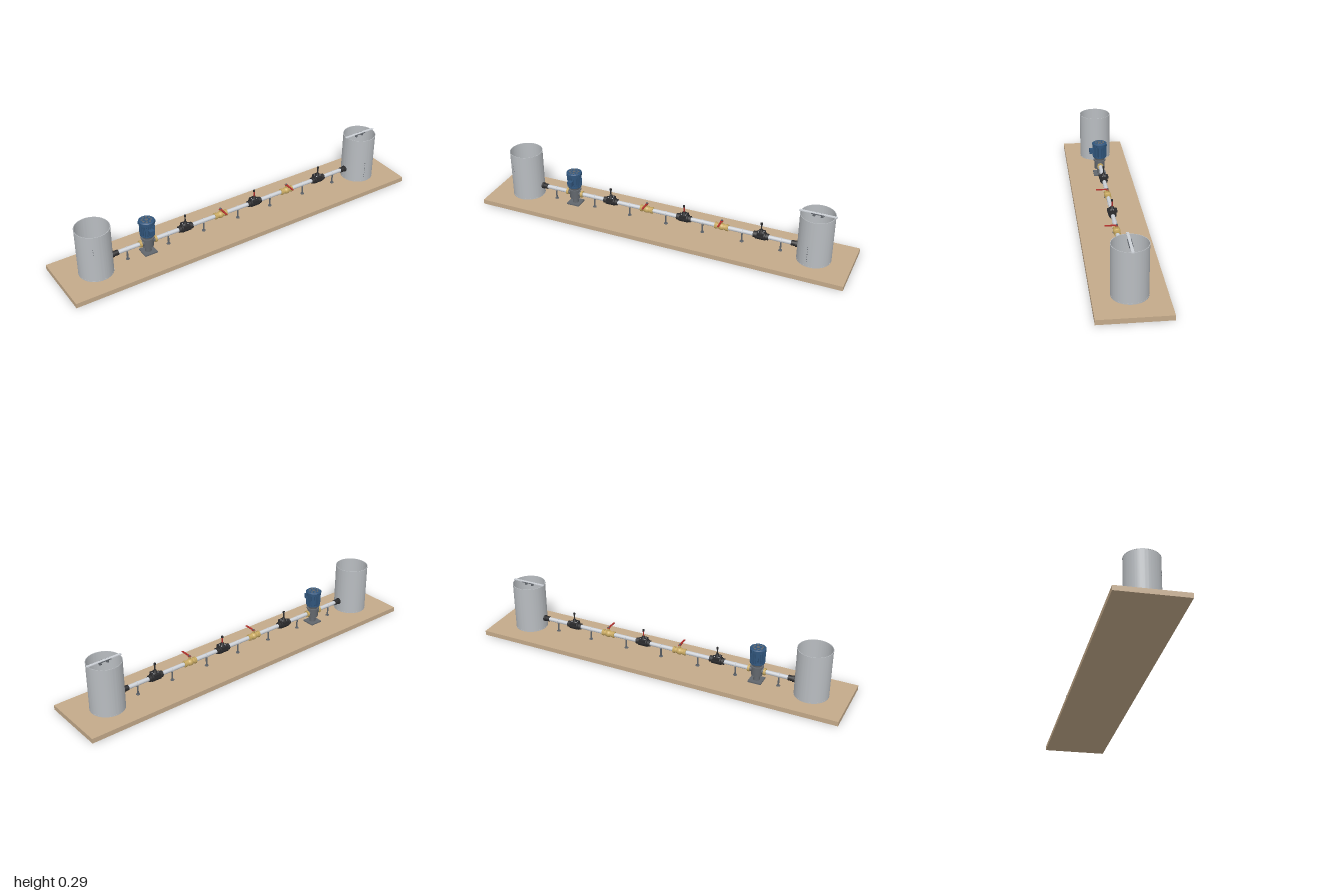
import * as THREE from 'three';
import { toCreasedNormals } from 'three/addons/utils/BufferGeometryUtils.js';

const PIPE_Y = 0.087, DECK = 0.025;

const mat = (name, color, extra = {}) =>
  Object.assign(new THREE.MeshStandardMaterial({ color, ...extra }), { name });

const M = {
  wood: mat('tan board', 0xc4aa8a),
  tank: mat('tank grey', 0xb9bdc1),
  pipe: mat('pipe light grey', 0xccd0d6),
  black: mat('black fitting', 0x2b2b2d),
  brass: mat('brass', 0xc9aa62),
  red: mat('red handle', 0xb0302c),
  blue: mat('motor blue', 0x30557c),
  iron: mat('cast iron grey', 0x62676d),
  water: mat('water blue', 0x6fb1d3),
};

function add(parent, name, geo, material, x = 0, y = 0, z = 0) {
  const m = new THREE.Mesh(geo, material);
  m.name = name;
  m.position.set(x, y, z);
  parent.add(m);
  return m;
}
const box = (w, h, d) => new THREE.BoxGeometry(w, h, d);
const cyl = (r, h, n = 24, r2 = r) => new THREE.CylinderGeometry(r2, r, h, n);
// cylinder lying along x
const cylX = (r, l, n = 24) => cyl(r, l, n).rotateZ(Math.PI / 2);

function group(parent, name, x = 0, y = 0, z = 0) {
  const g = new THREE.Group();
  g.name = name;
  g.position.set(x, y, z);
  parent.add(g);
  return g;
}

// upright tube with wall thickness
function ring(outer, inner, height) {
  const s = new THREE.Shape().absarc(0, 0, outer, 0, Math.PI * 2);
  s.holes.push(new THREE.Path().absarc(0, 0, inner, 0, Math.PI * 2, true));
  const g = new THREE.ExtrudeGeometry(s, { depth: height, bevelEnabled: false, curveSegments: 48 });
  return toCreasedNormals(g.rotateX(-Math.PI / 2), 0.6);
}

function tank(parent, name, x) {
  const g = group(parent, name, x, DECK, 0);
  add(g, 'tankWall', ring(0.087, 0.085, 0.259), M.tank);
  add(g, 'tankFloor', cyl(0.0875, 0.005, 64), M.tank, 0, 0.0025, 0);
  add(g, 'tankRim', ring(0.0878, 0.085, 0.003), M.tank, 0, 0.256, 0);
  add(g, 'water', cyl(0.0852, 0.12, 64), M.water, 0, 0.066, 0);
  return g;
}

// row of small level marks on the tank wall
function levelMarks(g, angle, from, to, count) {
  for (let i = 0; i < count; i++) {
    const m = add(g, 'levelMark', box(0.003, 0.005, 0.002), M.iron,
      Math.sin(angle) * 0.087, from + (to - from) * i / (count - 1), Math.cos(angle) * 0.087);
    m.rotation.y = angle;
  }
}

// threaded socket joining pipe and tank
function tankSocket(parent, side) {
  const g = group(parent, 'tankSocket', 0, PIPE_Y, 0);
  add(g, 'socketNut', cylX(0.017, 0.012, 8), M.black, side * 0.718);
  add(g, 'socketSleeve', cylX(0.014, 0.028), M.black, side * 0.703);
}

function gateValve(parent, x, redStem) {
  const g = group(parent, 'blackValve', x, PIPE_Y, 0);
  add(g, 'valveBody', cylX(0.021, 0.05, 20), M.black);
  for (const s of [-1, 1]) {
    add(g, 'valveNut', cylX(0.017, 0.014, 8), M.black, s * 0.033);
    for (const t of [-1, 1])
      add(g, 'valveBolt', cyl(0.0025, 0.006, 8), M.pipe, s * 0.012, 0.021, t * 0.007);
  }
  add(g, 'valveFlange', box(0.034, 0.012, 0.05), M.black, 0, 0.014, 0);
  add(g, 'bonnet', cyl(0.014, 0.018, 16, 0.007), M.black, 0, 0.028, 0);
  add(g, 'stem', cyl(0.0035, 0.036, 12), redStem ? M.red : M.black, 0, 0.05, 0);
  add(g, 'stemKnob', cyl(0.0055, 0.01, 12), M.black, 0, 0.07, 0);
}

function ballValve(parent, x) {
  const g = group(parent, 'brassValve', x, PIPE_Y, 0);
  add(g, 'ballHousing', new THREE.SphereGeometry(0.019, 24, 16), M.brass);
  add(g, 'brassSleeve', cylX(0.0145, 0.06), M.brass);
  for (const s of [-1, 1]) add(g, 'brassNut', cylX(0.0175, 0.013, 6), M.brass, s * 0.03);
  add(g, 'spindle', cyl(0.006, 0.018, 12), M.brass, 0, 0.024, 0);
  add(g, 'spindleNut', cyl(0.005, 0.006, 6), M.iron, 0, 0.037, 0);
  // lever reaching to the front
  add(g, 'leverHub', box(0.014, 0.003, 0.014), M.red, 0, 0.033, 0.002);
  add(g, 'lever', box(0.009, 0.004, 0.055), M.red, 0, 0.034, 0.034);
}

function pump(parent, x) {
  const g = group(parent, 'pump', x, 0, 0);
  add(g, 'footPlate', box(0.07, 0.007, 0.07), M.iron, 0, DECK + 0.0035, 0);
  add(g, 'pedestal', cyl(0.017, 0.045, 20, 0.014), M.iron, 0, 0.052, 0);
  add(g, 'pumpCasing', cyl(0.029, 0.05, 32), M.iron, 0, PIPE_Y, 0);
  add(g, 'casingFlange', cyl(0.034, 0.006, 32), M.iron, 0, 0.112, 0);
  add(g, 'motorAdapter', cyl(0.024, 0.02, 24, 0.03), M.iron, 0, 0.122, 0);
  for (const s of [-1, 1]) {
    add(g, 'pumpPort', cylX(0.014, 0.02), M.iron, s * 0.034, PIPE_Y, 0);
    add(g, 'brassUnion', cylX(0.018, 0.012, 8), M.brass, s * 0.042, PIPE_Y, 0);
  }
  // finned motor
  add(g, 'motorCore', cyl(0.033, 0.068, 32), M.blue, 0, 0.165, 0);
  add(g, 'motorLowerRim', cyl(0.037, 0.006, 32), M.blue, 0, 0.134, 0);
  for (let i = 0; i < 24; i++) {
    const a = i / 24 * Math.PI * 2;
    const fin = add(g, 'coolingFin', box(0.0025, 0.058, 0.01), M.blue,
      Math.sin(a) * 0.034, 0.167, Math.cos(a) * 0.034);
    fin.rotation.y = a;
  }
  add(g, 'terminalBox', box(0.026, 0.026, 0.024), M.blue, 0, 0.168, 0.046);
  // fan cover with vents and lugs
  add(g, 'fanCover', cyl(0.041, 0.016, 32), M.blue, 0, 0.206, 0);
  add(g, 'fanCoverTop', cyl(0.041, 0.004, 32, 0.035), M.blue, 0, 0.216, 0);
  add(g, 'fanHub', cyl(0.009, 0.002, 16), M.iron, 0, 0.2185, 0);
  for (let i = 0; i < 8; i++) {
    const a = (i + 0.5) / 8 * Math.PI * 2;
    add(g, 'fanVent', cyl(0.006, 0.0015, 12), M.iron, Math.sin(a) * 0.023, 0.2183, Math.cos(a) * 0.023);
    if (i % 2) add(g, 'coverLug', cyl(0.004, 0.012, 10), M.blue, Math.sin(a) * 0.041, 0.206, Math.cos(a) * 0.041);
  }
}

function pipeSupport(parent, x) {
  const g = group(parent, 'pipeSupport', x, 0, 0);
  add(g, 'supportFoot', cyl(0.01, 0.003, 16), M.iron, 0, DECK + 0.0015, 0);
  add(g, 'supportPost', cyl(0.0042, 0.052, 12), M.iron, 0, 0.051, 0);
  add(g, 'supportClamp', cylX(0.0125, 0.006), M.pipe, 0, PIPE_Y, 0);
}

export function createModel() {
  const root = new THREE.Group();
  root.name = 'pipelineTestBench';
  add(root, 'baseBoard', box(2, DECK, 0.35), M.wood, 0, DECK / 2, 0);

  const supplyTank = tank(root, 'supplyTank', -0.812);
  levelMarks(supplyTank, -0.45, 0.16, 0.19, 3);
  const receivingTank = tank(root, 'receivingTank', 0.808);
  levelMarks(receivingTank, -0.19, 0.03, 0.115, 7);

  // sensor bar lying across the receiving tank
  const bar = group(receivingTank, 'sensorBar', 0, 0.261, 0);
  add(bar, 'crossBar', box(0.188, 0.004, 0.013), M.pipe);
  add(bar, 'sensorPlate', box(0.07, 0.003, 0.02), M.iron, 0, -0.0015, 0);
  for (const s of [-1, 1]) add(bar, 'sensorHead', cyl(0.007, 0.014, 16), M.iron, s * 0.02, -0.009, 0);

  // main pipe in two runs either side of the pump
  for (const [a, b] of [[-0.722, -0.55], [-0.5, 0.722]])
    add(root, 'mainPipe', cylX(0.0108, b - a), M.pipe, (a + b) / 2, PIPE_Y, 0);
  for (const s of [-1, 1]) tankSocket(root, s);

  pump(root, -0.524);
  [-0.308, 0.112, 0.53].forEach((x, i) => gateValve(root, x, i === 1));
  for (const x of [-0.098, 0.32]) ballValve(root, x);
  for (const x of [-0.64, -0.408, -0.2, 0.01, 0.215, 0.43, 0.635]) pipeSupport(root, x);
  return root;
}
